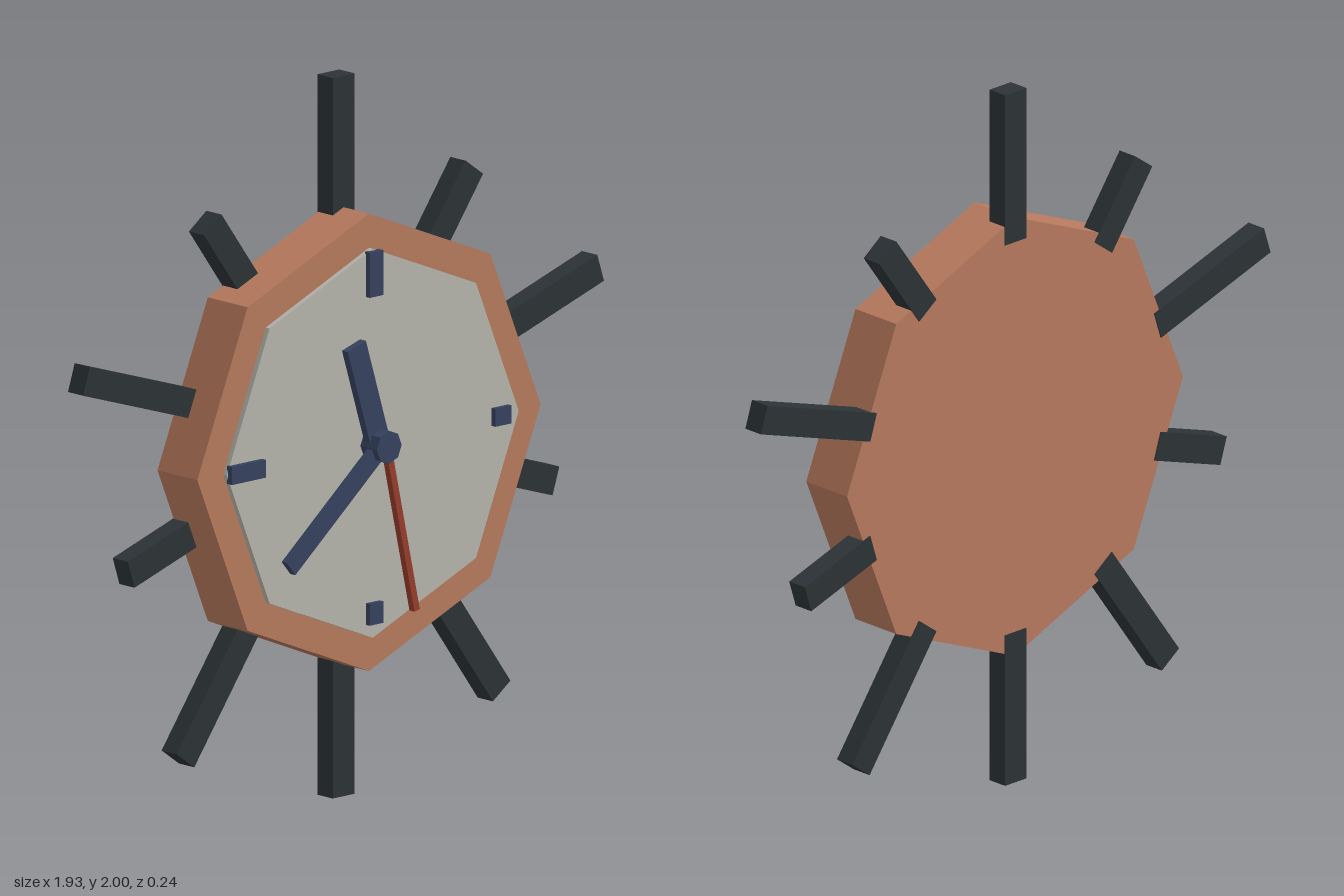
import * as THREE from 'three';

const mat = (color) => new THREE.MeshStandardMaterial({ color, flatShading: true });

export function createModel() {
  const clock = new THREE.Group();
  clock.name = 'sunburstClock';
  const terracotta = mat(0xb87a5e);
  const charcoal = mat(0x2c3336);
  const cream = mat(0xb6b6ad);
  const navy = mat(0x36425f);
  const red = mat(0x983d2b);

  // Flat prism facing +z, one corner pointing up
  function disc(name, radius, sides, z0, z1, material) {
    const g = new THREE.CylinderGeometry(radius, radius, z1 - z0, sides);
    g.rotateX(Math.PI / 2);
    const m = new THREE.Mesh(g, material);
    m.name = name;
    m.position.set(0, 1, (z0 + z1) / 2);
    clock.add(m);
  }

  // Bar from radius r0 to r1, turned clockwise from twelve by an angle
  function bar(name, angle, r0, r1, width, z0, z1, material) {
    const g = new THREE.BoxGeometry(width, r1 - r0, z1 - z0);
    g.translate(0, (r0 + r1) / 2, (z0 + z1) / 2);
    const m = new THREE.Mesh(g, material);
    m.name = name;
    m.position.y = 1;
    m.rotation.z = -angle;
    clock.add(m);
  }

  // Case and dial
  disc('case', 0.635, 8, -0.117, 0.04, terracotta);
  disc('dial', 0.54, 8, 0.03, 0.055, cream);

  // Ten rays, some shorter, mirrored left and right
  const tips = [1, 0.823, 1, 0.826, 0.995, 1, 0.995, 0.826, 1, 0.823];
  tips.forEach((tip, i) =>
    bar('ray', (i * Math.PI) / 5, 0.565, tip, 0.08, -0.12, -0.06, charcoal));

  // Hour markers at twelve, three, six and nine
  const markers = [[0.41, 0.535], [0.44, 0.5], [0.44, 0.5], [0.41, 0.535]];
  markers.forEach(([r0, r1], i) =>
    bar('hourMarker', (i * Math.PI) / 2, r0, r1, 0.05, 0.05, 0.07, navy));

  // Hands and hub
  bar('hourHand', Math.atan2(-0.09, 0.29), 0, 0.303, 0.07, 0.065, 0.088, navy);
  bar('minuteHand', Math.atan2(-0.345, -0.285), 0, 0.447, 0.05, 0.08, 0.1, navy);
  bar('secondHand', Math.atan2(0.105, -0.47), 0, 0.482, 0.02, 0.098, 0.118, red);
  disc('hub', 0.046, 8, 0.055, 0.12, navy);

  return clock;
}
